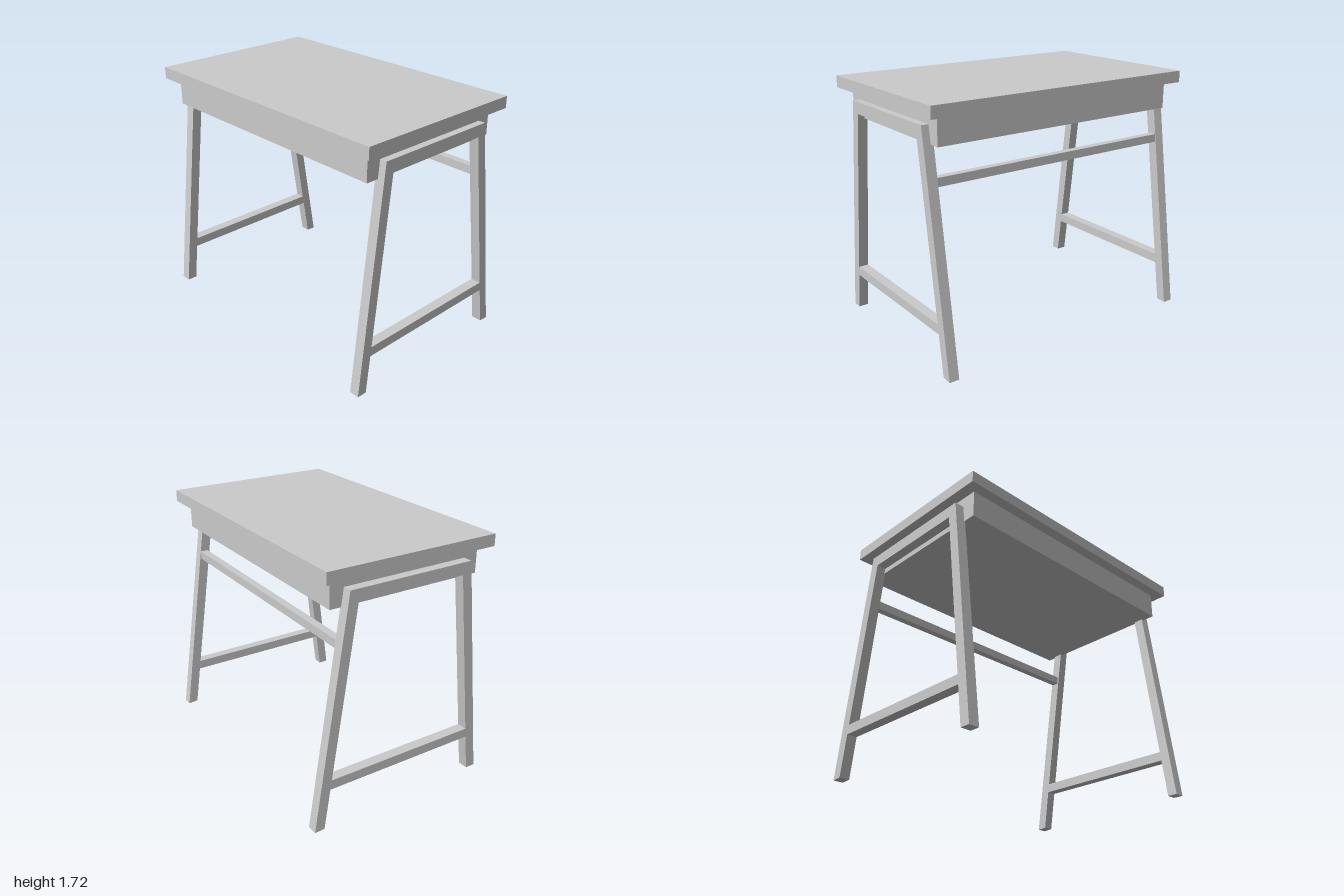
import * as THREE from 'three';

const material = new THREE.MeshStandardMaterial({ color: 0xcccccc, flatShading: true });

function addPart(group, name, geometry) {
  const mesh = new THREE.Mesh(geometry, material);
  mesh.name = name;
  group.add(mesh);
}

// Box given by its limits on each axis
function box(x0, x1, y0, y1, z0, z1) {
  return new THREE.BoxGeometry(x1 - x0, y1 - y0, z1 - z0)
    .translate((x0 + x1) / 2, (y0 + y1) / 2, (z0 + z1) / 2);
}

// Side profile of [z, y] points, extruded along x from x0 to x1
function sideProfile(points, x0, x1) {
  const shape = new THREE.Shape(points.map(([z, y]) => new THREE.Vector2(z, y)));
  return new THREE.ExtrudeGeometry(shape, { depth: x1 - x0, bevelEnabled: false })
    .rotateY(-Math.PI / 2)
    .translate(x1, 0, 0);
}

// Splayed pair of legs joined by a rail at the top
const legProfile = [
  [0.66, 0.02], [0.59, 0.02], [0.41, 1.493], [-0.367, 1.493],
  [-0.59, 0.005], [-0.66, 0], [-0.425, 1.575], [0.47, 1.575],
];
// Low stretcher, its ends cut to the slope of the legs
const stretcherProfile = [[0.558, 0.285], [0.55, 0.35], [-0.538, 0.35], [-0.548, 0.285]];

export function createModel() {
  const table = new THREE.Group();
  table.name = 'table';

  addPart(table, 'tableTop', box(-1, 1, 1.64, 1.72, -0.59, 0.643));
  addPart(table, 'apronBox', box(-0.925, 0.92, 1.456, 1.64, -0.52, 0.572));

  for (const [side, x0, x1] of [['right', -0.99, -0.918], ['left', 0.9, 0.97]]) {
    const frame = new THREE.Group();
    frame.name = `${side}LegFrame`;
    addPart(frame, `${side}Legs`, sideProfile(legProfile, x0, x1));
    addPart(frame, `${side}Stretcher`, sideProfile(stretcherProfile, x0, x1));
    table.add(frame);
  }

  // Rail between the two back legs
  addPart(table, 'backRail', box(-0.918, 0.9, 1.2, 1.257, -0.472, -0.42));

  return table;
}
